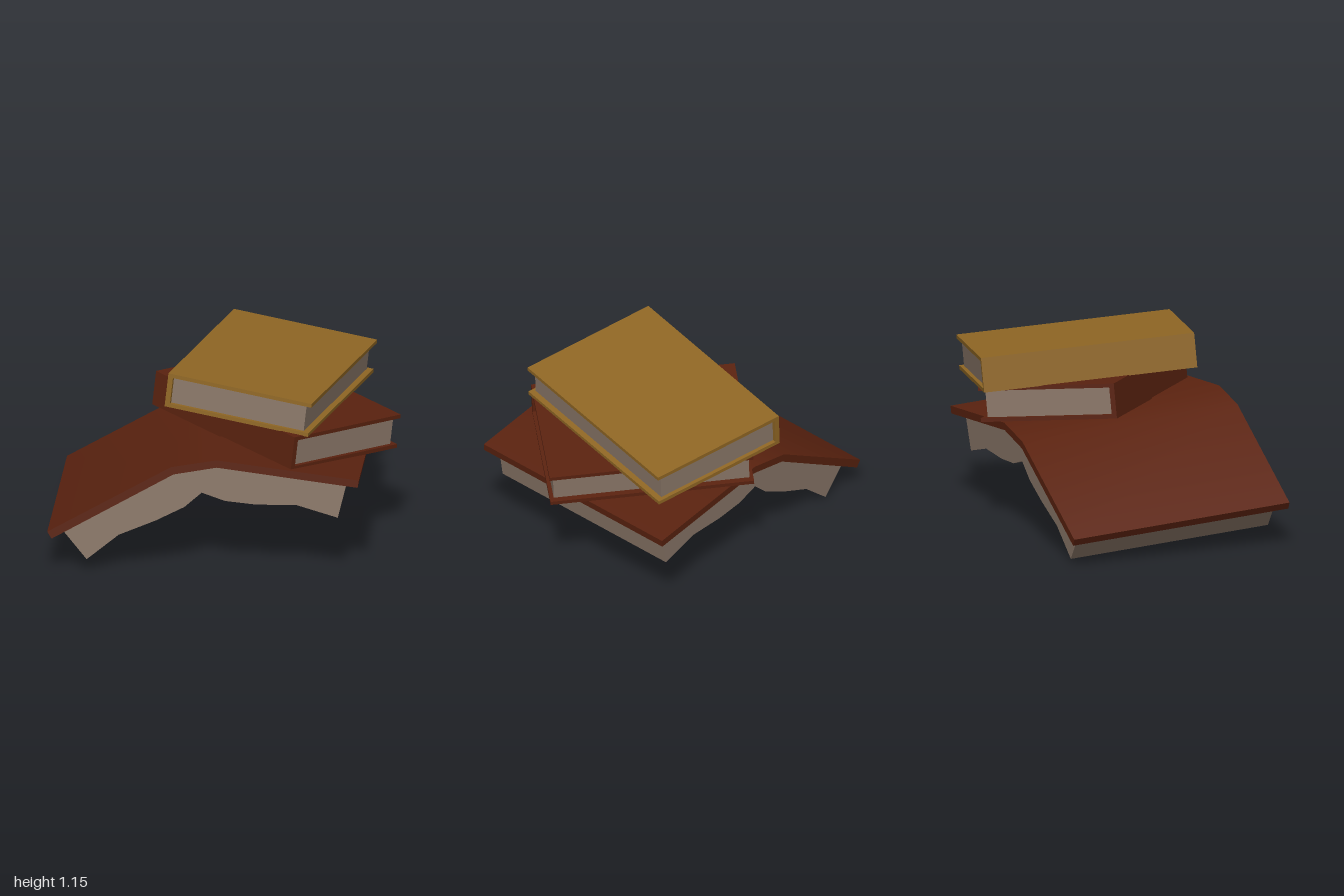
import * as THREE from 'three';
import { toCreasedNormals } from 'three/addons/utils/BufferGeometryUtils.js';

const material = (name, color) => {
  const m = new THREE.MeshStandardMaterial({ color });
  m.name = name;
  return m;
};

// Extrudes an x/y outline from z0 to z1, smoothing shallow bends
function extrudeProfile(name, points, z0, z1, mat) {
  const shape = new THREE.Shape(points.map(([x, y]) => new THREE.Vector2(x, y)));
  const geo = new THREE.ExtrudeGeometry(shape, { depth: z1 - z0, bevelEnabled: false });
  geo.translate(0, 0, z0);
  const mesh = new THREE.Mesh(toCreasedNormals(geo, 1.2), mat);
  mesh.name = name;
  return mesh;
}

// Closed book: spine on local -x, fore edge on +x, spine runs along z
function closedBook(name, width, height, length, coverMat, pageMat) {
  const book = new THREE.Group();
  book.name = name;
  const board = 0.023, spine = 0.03, foreInset = 0.035, endInset = 0.023;
  const box = (part, w, h, l, x, y, mat) => {
    const mesh = new THREE.Mesh(new THREE.BoxGeometry(w, h, l), mat);
    mesh.name = part;
    mesh.position.set(x, y, 0);
    book.add(mesh);
  };
  const inner = height - 2 * board;
  box('topBoard', width, board, length, 0, (height - board) / 2, coverMat);
  box('bottomBoard', width, board, length, 0, -(height - board) / 2, coverMat);
  box('spine', spine, inner, length, (spine - width) / 2, 0, coverMat);
  box('pages', width - spine - foreInset, inner, length - 2 * endInset,
    (spine - foreInset) / 2, 0, pageMat);
  return book;
}

export function createModel() {
  const red = material('red brown cover', 0x5a220f);
  const gold = material('ochre cover', 0x906724);
  const paper = material('paper', 0x8a7768);
  const model = new THREE.Group();
  model.name = 'bookStack';

  // Open book lying face down, tipped slightly towards the back
  const openBook = new THREE.Group();
  openBook.name = 'openBook';
  openBook.rotation.x = -0.066;
  openBook.add(extrudeProfile('openCover', [
    [-0.975, 0.173], [-0.27, 0.59], [-0.02, 0.64], [0.798, 0.545],
    [0.805, 0.59], [-0.02, 0.685], [-0.285, 0.634], [-1, 0.215],
  ], -0.567, 0.783, red));
  openBook.add(extrudeProfile('openPages', [
    [-0.775, 0.036], [-0.59, 0.192], [-0.375, 0.287], [-0.21, 0.375], [-0.11, 0.466],
    [0.025, 0.42], [0.205, 0.404], [0.44, 0.409], [0.68, 0.34],
    [0.73, 0.554], [-0.02, 0.641], [-0.27, 0.591], [-0.915, 0.209],
  ], -0.507, 0.73, paper));
  model.add(openBook);

  // Closed books rest on the sloping half of the open one
  const tilt = new THREE.Quaternion().setFromUnitVectors(
    new THREE.Vector3(0, 1, 0), new THREE.Vector3(0.107, 1, -0.055).normalize());
  const place = (book, x, y, z, turn) => {
    book.position.set(x, y, z);
    book.quaternion.copy(tilt).multiply(
      new THREE.Quaternion().setFromAxisAngle(new THREE.Vector3(0, 1, 0), turn));
    model.add(book);
  };
  place(closedBook('middleBook', 0.84, 0.206, 1.187, red, paper), 0.264, 0.756, -0.002, 0.828);
  place(closedBook('topBook', 0.874, 0.204, 1.254, gold, paper), 0.227, 0.961, -0.054, -0.226);

  return model;
}
